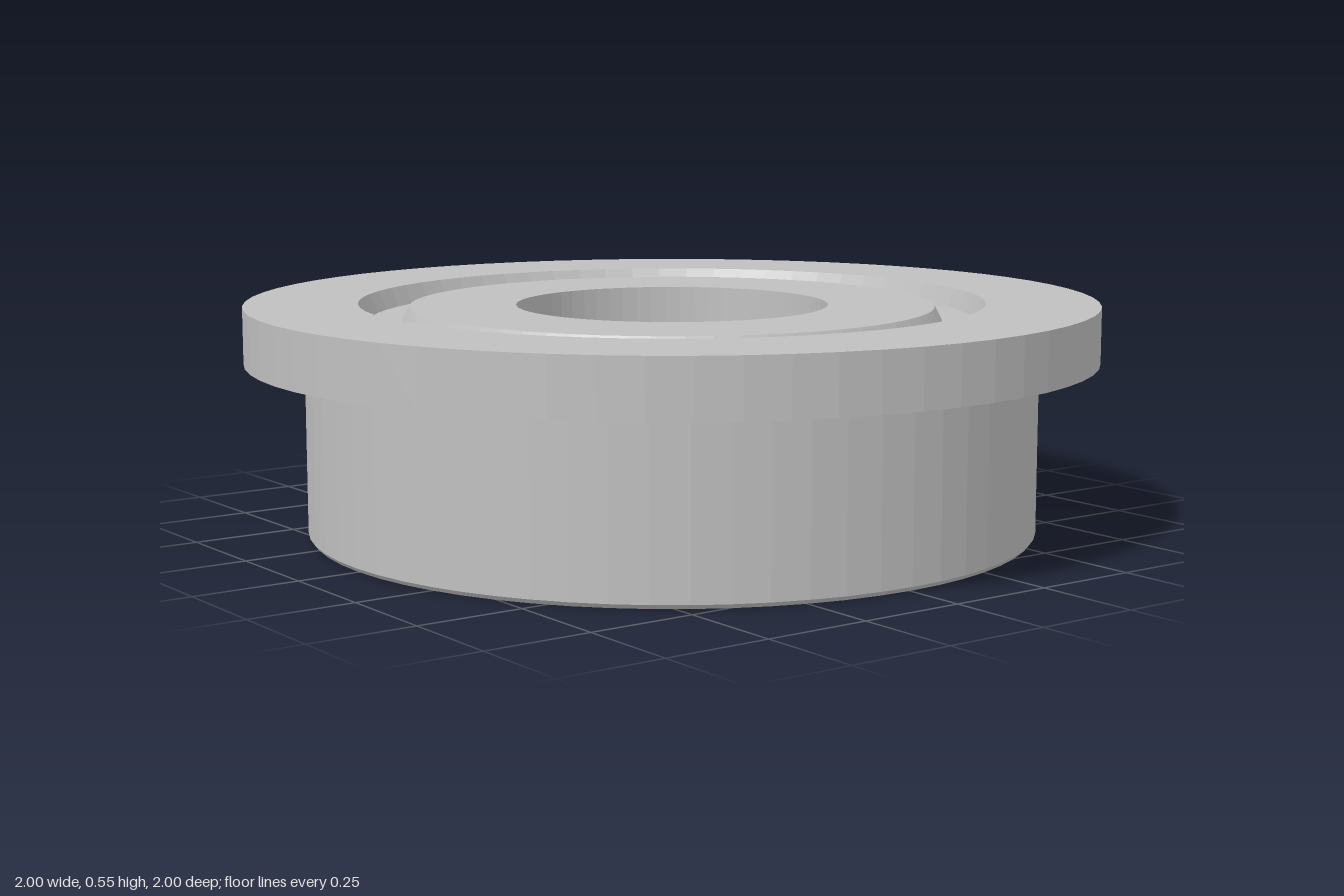
import * as THREE from 'three';

export function createModel() {
  const group = new THREE.Group();
  group.name = 'flangedBearing';
  const steel = new THREE.MeshStandardMaterial({ color: 0xc0c0c0, flatShading: true });
  steel.name = 'steel grey';

  // Revolves a closed [radius, height] section, listed counterclockwise
  function ring(name, section) {
    const points = [...section, section[0]].map(([r, y]) => new THREE.Vector2(r, y));
    const mesh = new THREE.Mesh(new THREE.LatheGeometry(points, 64), steel);
    mesh.name = name;
    group.add(mesh);
  }

  // Outer race with the wide flange at its top and bevelled mouths
  ring('outerRing', [
    [0.735, 0], [0.852, 0], [0.86, 0.01], [0.86, 0.412], [1, 0.412],
    [1, 0.545], [0.735, 0.545], [0.715, 0.5], [0.715, 0.05],
  ]);

  // Recessed seal closing the gap between the races
  ring('shield', [[0.635, 0.05], [0.715, 0.05], [0.715, 0.5], [0.635, 0.5]]);

  // Inner race around the bore, stepped on its underside
  ring('innerRing', [
    [0.367, 0], [0.49, 0], [0.49, 0.02], [0.622, 0.02], [0.635, 0.05],
    [0.635, 0.5], [0.617, 0.535], [0.367, 0.535],
  ]);

  return group;
}
